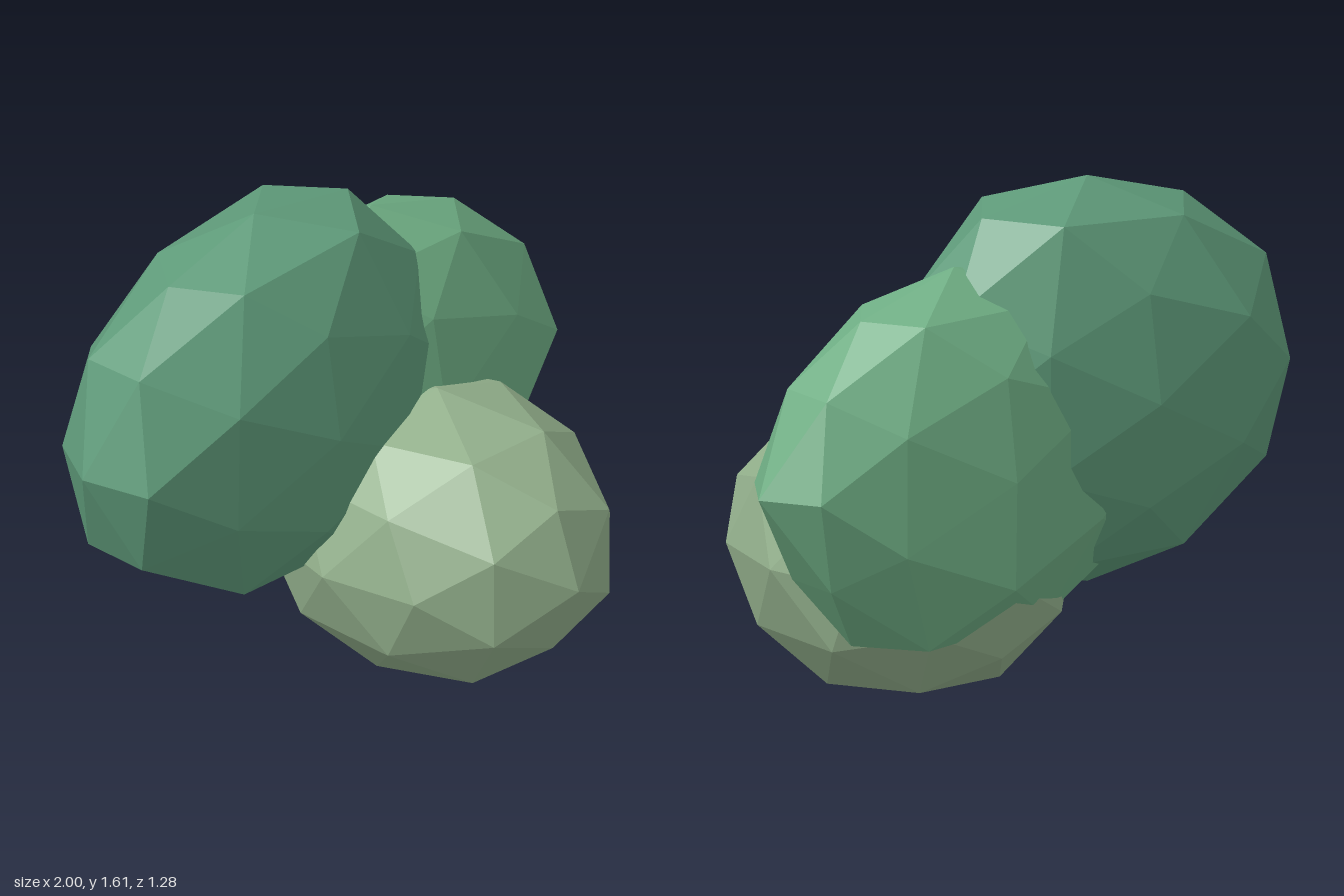
import * as THREE from 'three';

// Faceted ellipsoid: an 80-sided ball, with a few corners pushed in or out.
// Each nudge is [direction x, y, z, scale x, y, z].
function blob(name, color, centre, radii, nudges) {
  const geometry = new THREE.IcosahedronGeometry(1, 1);
  const pos = geometry.attributes.position;
  const v = new THREE.Vector3();
  for (let i = 0; i < pos.count; i++) {
    v.fromBufferAttribute(pos, i);
    const hit = nudges.find(([x, y, z]) => Math.hypot(v.x - x, v.y - y, v.z - z) < 0.05);
    if (hit) v.multiply(new THREE.Vector3(hit[3], hit[4], hit[5]));
    pos.setXYZ(i, v.x * radii[0], v.y * radii[1], v.z * radii[2]);
  }
  geometry.computeVertexNormals();
  const mesh = new THREE.Mesh(geometry, new THREE.MeshStandardMaterial({ color, flatShading: true }));
  mesh.name = name;
  mesh.position.set(...centre);
  return mesh;
}

export function createModel() {
  const group = new THREE.Group();
  group.name = 'bushCluster';

  // Tall flattened bush on the right
  group.add(blob('largeBush', 0x5f9b7a, [-0.27, 0.97, -0.265], [0.73, 0.64, 0.375], [
    [0.526, 0.851, 0, 1.04, 1.05, 1],
    [0.309, 0.809, 0.5, 1.07, 1.09, 1.12],
    [0.309, 0.809, -0.5, 1.07, 1.09, 1.1],
    [-0.526, 0.851, 0, 0.95, 0.97, 1],
    [-0.526, -0.851, 0, 0.9, 0.88, 1],
    [-0.851, 0, 0.526, 1.08, 1, 1.14],
    [-0.5, 0.309, 0.809, 1.04, 1.02, 1.07],
    [-0.5, 0.309, -0.809, 1.04, 1.02, 1.05],
    [-0.809, 0.5, 0.309, 1.02, 1.05, 1],
  ]));

  // Flattened bush on the left
  group.add(blob('sideBush', 0x6fae84, [0.26, 0.81, -0.3], [0.74, 0.61, 0.32], [
    [0, -1, 0, 1, 0.885, 1],
    [0.526, 0.851, 0, 0.91, 0.96, 1],
    [0.809, 0.5, 0.309, 0.93, 0.98, 1],
    [0.809, 0.5, -0.309, 0.93, 0.98, 1],
    [0.809, -0.5, 0.309, 0.9, 1, 1],
    [0.809, -0.5, -0.309, 0.9, 1, 1],
    [0, -0.526, -0.851, 1, 1.06, 1.15],
    [0.309, -0.809, -0.5, 1, 1.06, 1.12],
    [0.526, -0.851, 0, 1, 1, 1],
    [0, 0, 1, 1, 1, 1.04],
  ]));

  // Small round bush in front
  group.add(blob('frontBush', 0x93b08c, [0.22, 0.466, 0.03], [0.49, 0.466, 0.61], [
    [-0.526, 0.851, 0, 1.08, 0.97, 1],
    [0.526, 0.851, 0, 1.04, 0.97, 1],
    [0.526, -0.851, 0, 1.06, 1, 1],
    [0, -0.526, 0.851, 1, 0.97, 0.96],
  ]));

  return group;
}
